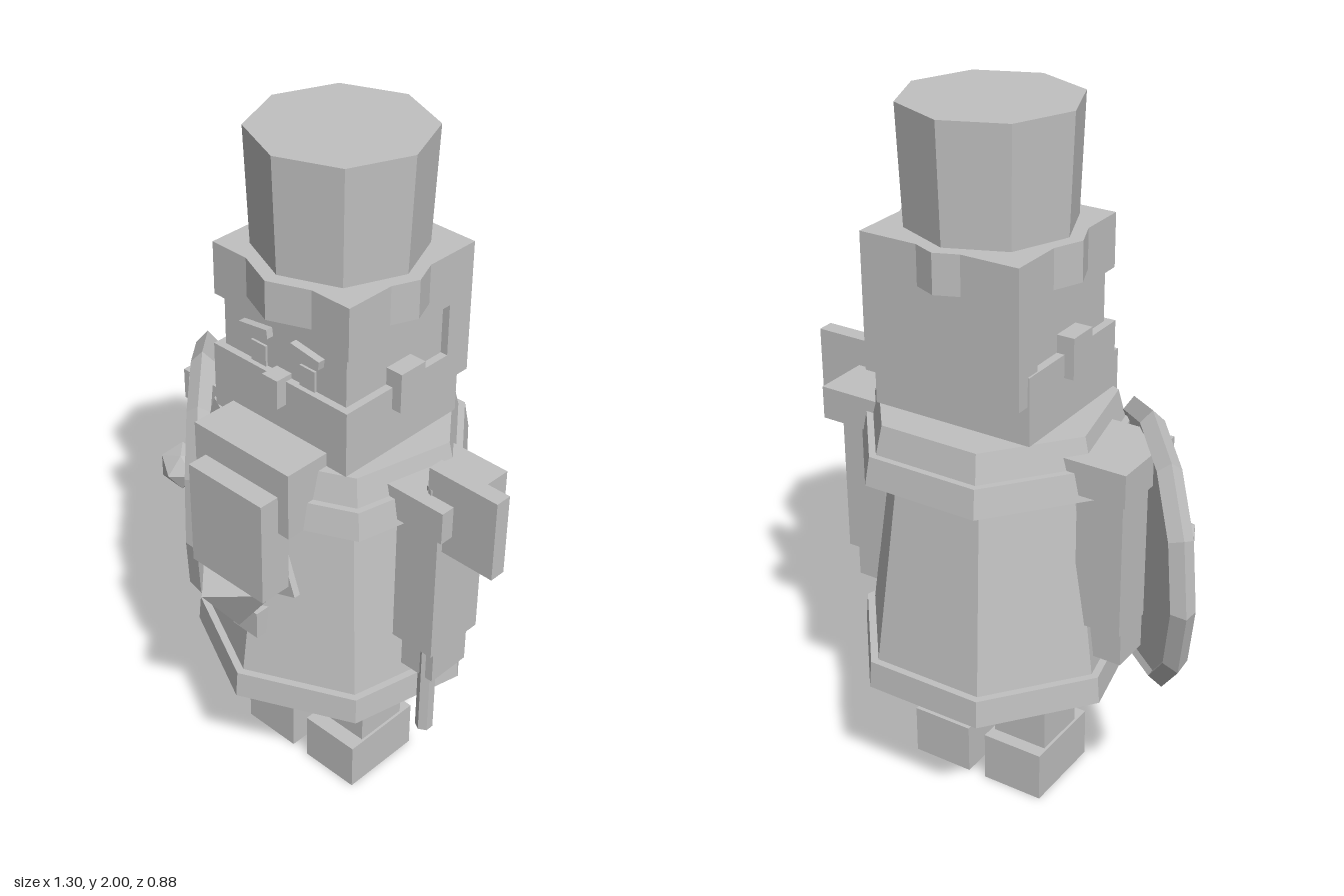
import * as THREE from 'three';

const CX = 0.043, CZ = -0.075; // axis of the figure

export function createModel() {
  const root = new THREE.Group();
  root.name = 'dwarfWarrior';
  const stone = new THREE.MeshStandardMaterial({ color: 0xc0c0c0, flatShading: true });
  stone.name = 'stone grey';

  const add = (name, geo, x = 0, y = 0, z = 0, parent = root) => {
    const m = new THREE.Mesh(geo, stone);
    m.name = name;
    m.position.set(x, y, z);
    parent.add(m);
    return m;
  };
  // box from its limits
  const block = (name, x0, x1, y0, y1, z0, z1) =>
    add(name, new THREE.BoxGeometry(x1 - x0, y1 - y0, z1 - z0),
      (x0 + x1) / 2, (y0 + y1) / 2, (z0 + z1) / 2);
  // box given by half-width limits, repeated on both sides of the axis
  const pair = (name, d0, d1, y0, y1, z0, z1) => {
    block(name + 'Left', CX + d0, CX + d1, y0, y1, z0, z1);
    block(name + 'Right', CX - d1, CX - d0, y0, y1, z0, z1);
  };
  // faceted ring section on the axis
  const drum = (name, rTop, rBottom, y0, y1, sides) =>
    add(name, new THREE.CylinderGeometry(rTop, rBottom, y1 - y0, sides), CX, (y0 + y1) / 2, CZ);

  // feet and legs
  pair('foot', 0.028, 0.214, 0, 0.15, -0.18, 0.075);
  pair('leg', 0.038, 0.206, 0.15, 0.45, -0.14, 0.026);

  // seven-sided coat and cape collar
  drum('coatHem', 0.398, 0.405, 0.4, 0.48, 7);
  drum('coat', 0.295, 0.375, 0.48, 1.05, 7);
  drum('collarBand', 0.375, 0.39, 1.03, 1.11, 7);
  drum('collar', 0.335, 0.355, 1.11, 1.19, 7);
  block('buckle', -0.002, 0.092, 0.62, 0.705, 0.2, 0.29);

  // arms
  pair('shoulder', 0.25, 0.477, 1.05, 1.145, -0.205, 0.05);
  pair('arm', 0.31, 0.447, 0.63, 1.1, -0.16, 0.028);
  pair('hand', 0.325, 0.437, 0.52, 0.63, -0.132, 0.005);

  // head
  block('face', -0.172, 0.258, 1.36, 1.56, -0.25, 0.127);
  block('headband', -0.19, 0.28, 1.53, 1.68, -0.315, 0.145);
  block('backHair', -0.19, 0.28, 1.3, 1.6, -0.315, -0.23);
  pair('ear', 0.2, 0.266, 1.315, 1.43, -0.11, -0.02);
  block('nose', 0.016, 0.069, 1.31, 1.395, 0.1, 0.18);
  pair('eye', 0.06, 0.113, 1.37, 1.44, 0.125, 0.134);
  for (const s of [-1, 1]) {
    add('eyebrow', new THREE.BoxGeometry(0.1, 0.025, 0.03), CX + s * 0.09, 1.483, 0.133)
      .rotation.z = -s * 0.14;
    add('beardStrand', new THREE.BoxGeometry(0.1, 0.24, 0.02), CX + s * 0.068, 0.9, 0.242)
      .rotation.z = s * 0.35;
  }

  // beard in steps, ending in a point
  block('beardJaw', -0.195, 0.28, 1.19, 1.38, -0.275, 0.148);
  block('beardUpper', -0.128, 0.213, 1.03, 1.23, 0.1, 0.287);
  block('beardLower', -0.09, 0.176, 0.83, 1.145, 0.25, 0.347);
  add('beardTip', new THREE.ConeGeometry(0.13, 0.18, 4), CX, 0.74, 0.31).rotation.x = Math.PI;

  // hat
  drum('hatBrim', 0.267, 0.267, 1.57, 1.68, 8);
  drum('hat', 0.24, 0.227, 1.68, 2, 8);

  // axe in the left hand
  add('axeHandle', new THREE.CylinderGeometry(0.025, 0.025, 0.84, 6), 0.445, 0.74, -0.014);
  block('axeBlade', 0.435, 0.654, 0.985, 1.225, -0.04, 0.008);

  // round shield on the right arm, turned outwards
  const shield = new THREE.Group();
  shield.name = 'shield';
  shield.position.set(-0.38, 0.825, 0.027);
  shield.rotation.y = -0.82;
  root.add(shield);
  add('shieldDisc', new THREE.CylinderGeometry(0.365, 0.365, 0.04, 12), 0, 0, 0, shield)
    .rotation.x = Math.PI / 2;
  add('shieldRim', new THREE.TorusGeometry(0.358, 0.033, 4, 12), 0, 0, 0, shield);
  add('shieldBarUpright', new THREE.BoxGeometry(0.07, 0.62, 0.025), 0, 0.01, 0.025, shield);
  add('shieldBarLevel', new THREE.BoxGeometry(0.58, 0.08, 0.025), 0, 0, 0.025, shield);
  add('shieldBoss', new THREE.IcosahedronGeometry(0.068, 0), 0, 0, 0.072, shield);

  return root;
}
